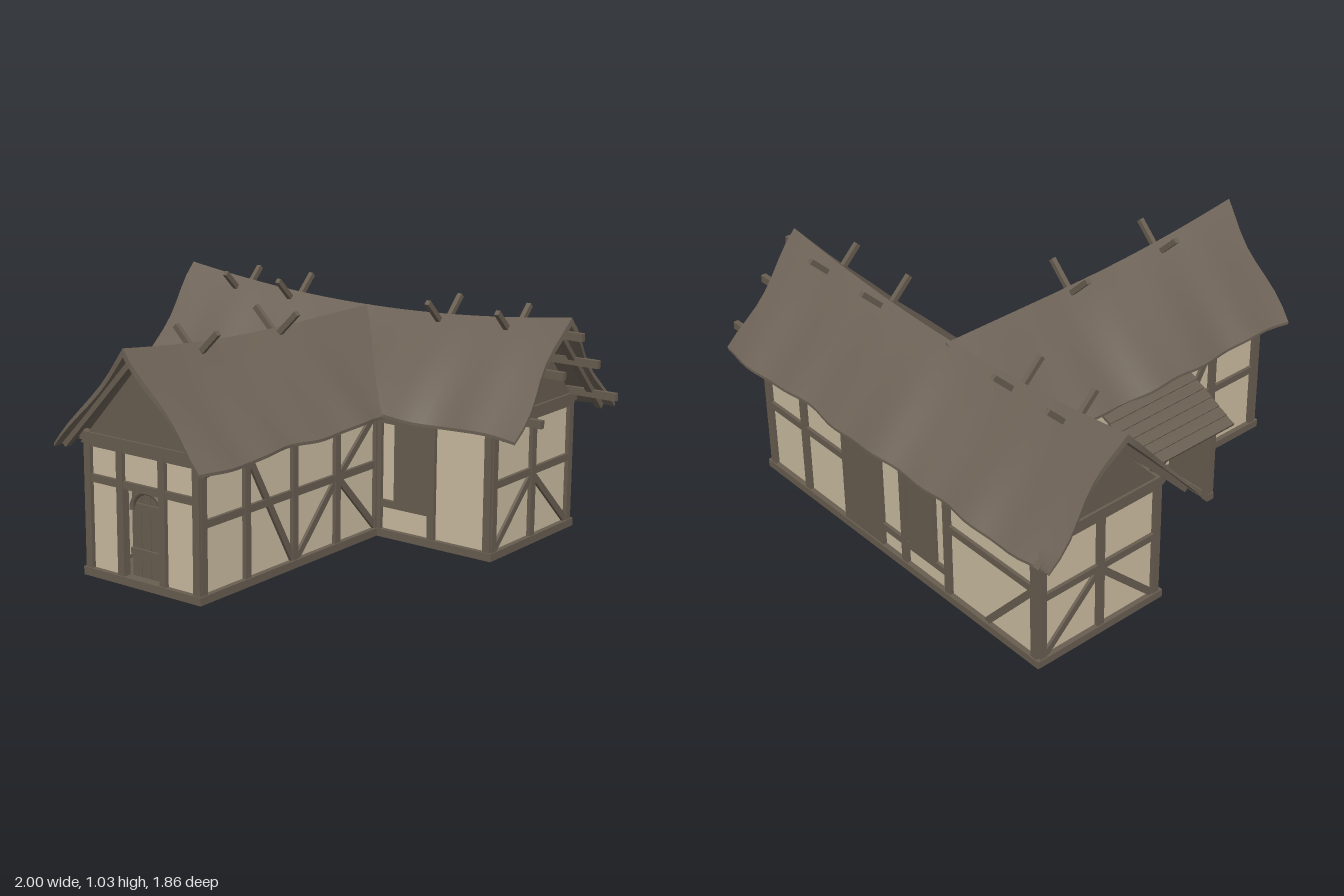
import * as THREE from 'three';
import { toCreasedNormals } from 'three/addons/utils/BufferGeometryUtils.js';

const material = (name, color) => Object.assign(new THREE.MeshStandardMaterial({ color }), { name });
const plaster = material('plaster', 0xcbbca0);
const timber = material('timber', 0x685d50);
const thatch = material('thatch', 0x6d6256);
const BASE = 0.085, TOP = 0.62;

function box(parent, name, mat, w, h, d, x, y, z) {
  const mesh = new THREE.Mesh(new THREE.BoxGeometry(w, h, d), mat);
  mesh.name = name;
  mesh.position.set(x, y, z);
  parent.add(mesh);
  return mesh;
}

// Square timber between two points in the plane z = const
function beam(parent, name, x1, y1, x2, y2, w = 0.032, z = 0, d = 0.03) {
  const m = box(parent, name, timber, Math.hypot(x2 - x1, y2 - y1), w, d, (x1 + x2) / 2, (y1 + y2) / 2, z);
  m.rotation.z = Math.atan2(y2 - y1, x2 - x1);
  return m;
}

// A wall in its own frame: x along, z outward. Plaster is given as rectangles.
function wall(parent, name, x, z, turn, { from, to, posts, rails = [], braces = [], panels = [], rects }) {
  const g = new THREE.Group();
  g.name = name;
  g.position.set(x, 0, z);
  g.rotation.y = turn;
  for (const [a, b, y0, y1] of rects || [[from, to, BASE, TOP]])
    box(g, 'plasterPanel', plaster, b - a, y1 - y0, 0.02, (a + b) / 2, (y0 + y1) / 2, -0.01);
  beam(g, 'sill', from - 0.02, 0.095, to + 0.02, 0.095, 0.032, 0, 0.044);
  beam(g, 'topPlate', from, 0.61, to, 0.61, 0.03);
  for (const p of posts) beam(g, 'post', p, BASE, p, TOP, 0.032, 0, 0.034);
  for (const [a, b, y] of rails) beam(g, 'rail', a, y, b, y, 0.03, 0, 0.028);
  for (const [a, ya, b, yb] of braces) beam(g, 'brace', a, ya, b, yb, 0.028, 0, 0.024);
  for (const [a, b, y0, y1] of panels)
    box(g, 'shutter', timber, b - a, y1 - y0, 0.024, (a + b) / 2, (y0 + y1) / 2, 0.004);
  parent.add(g);
  return g;
}

// Sagging thatch slab swept along z, with wavy eaves and ends
function roofGeometry(s0, s1, ridge) {
  const n = 17, steps = 40, pos = [], idx = [];
  for (let j = 0; j <= steps; j++) {
    const s = s0 + (s1 - s0) * j / steps, end = Math.pow(Math.abs(2 * j / steps - 1), 8);
    for (let k = 0; k < 2 * n; k++) {
      const inner = k >= n, i = inner ? 2 * n - 1 - k : k;
      const t = 1 - 2 * i / (n - 1), a = Math.abs(t);
      const side = Math.sign(t);
      const half = 0.366 + 0.008 * Math.sin(s * 9 + side) + 0.005 * Math.sin(s * 23 + 2 * side);
      const eave = 0.605 + 0.006 * Math.sin(s * 13 + 2 * side);
      const swell = 0.012 * Math.sin(a * Math.PI) * Math.sin(s * 5 + side);
      const y = eave + (ridge(s) - eave) * (1 - a) + swell - (inner ? 0.012 + 0.022 * (1 - a) : 0);
      pos.push(t * half, y, s + end * 0.014 * Math.sin(t * 7 + s));
    }
  }
  const m = 2 * n, quad = (a, b, c, d) => idx.push(a, b, c, a, c, d);
  for (let j = 0; j < steps; j++)
    for (let k = 0; k < m; k++) {
      const l = (k + 1) % m;
      quad(j * m + k, j * m + l, (j + 1) * m + l, (j + 1) * m + k);
    }
  const e = steps * m;
  for (let k = 0; k < n - 1; k++) {
    quad(e + k, e + k + 1, e + m - 2 - k, e + m - 1 - k);
    quad(m - 1 - k, m - 2 - k, k + 1, k);
  }
  const g = new THREE.BufferGeometry();
  g.setAttribute('position', new THREE.Float32BufferAttribute(pos, 3));
  g.setIndex(idx);
  return toCreasedNormals(g, 0.7);
}

// Roof group along local z: thatch, crossed ridge sticks, gables and rafters at the given ends
function roof(parent, name, s0, s1, ridge, sticks, gables) {
  const g = new THREE.Group();
  g.name = name;
  const skin = new THREE.Mesh(roofGeometry(s0, s1, ridge), thatch);
  skin.name = 'thatch';
  g.add(skin);
  for (const s of sticks)
    for (const k of [-1, 1]) beam(g, 'ridgeStick', k * 0.11, 1.025, -k * 0.035, 0.88, 0.022, s + k * 0.006, 0.02);
  const tri = new THREE.Shape([[-0.315, 0.6], [0.315, 0.6], [0, 0.95]].map(p => new THREE.Vector2(...p)));
  for (const [s, outer] of gables) {
    const gable = new THREE.Mesh(new THREE.ExtrudeGeometry(tri, { depth: 0.02, bevelEnabled: false }), timber);
    gable.name = 'gable';
    gable.position.z = s - 0.01;
    g.add(gable);
    beam(g, 'tieBeam', -0.31, 0.632, 0.31, 0.632, 0.034, s, 0.04);
    for (const k of [-1, 1]) beam(g, 'rafter', k * 0.355, 0.594, 0, 0.968, 0.026, outer, 0.03);
  }
  parent.add(g);
  return g;
}

export function createModel() {
  const house = new THREE.Group();
  house.name = 'house';
  const Q = Math.PI / 2;

  // Front wing: gable wall with doorway
  const front = wall(house, 'frontWall', 0, 0.83, 0, {
    from: -0.32, to: 0.23, posts: [-0.315, -0.15, 0.06, 0.228], rails: [[-0.32, 0.23, 0.47]],
    rects: [[-0.32, -0.14, BASE, TOP], [0.05, 0.23, BASE, TOP], [-0.14, 0.05, 0.47, TOP]],
  });
  // Recessed door with planks and a low arch
  const door = new THREE.Group();
  door.name = 'door';
  for (let i = 0; i < 4; i++) box(door, 'doorPlank', timber, 0.045, 0.38, 0.02, -0.117 + i * 0.048, 0.28, -0.05);
  for (const y of [0.2, 0.38]) box(door, 'doorBatten', timber, 0.19, 0.03, 0.012, -0.045, y, -0.036);
  const arch = new THREE.Mesh(new THREE.TorusGeometry(0.08, 0.012, 6, 12, Math.PI), timber);
  arch.name = 'doorArch';
  arch.position.set(-0.045, 0.37, -0.025);
  door.add(arch);
  front.add(door);

  // Front wing: long side walls, mirrored along their length
  const sideBraces = [[-0.56, 0.59, -0.29, 0.11], [-0.27, 0.11, -0.02, 0.37], [0.25, 0.6, 0, 0.38], [0, 0.37, 0.25, 0.11]];
  const sidePosts = [-0.82, -0.57, -0.285, -0.015, 0.25];
  wall(house, 'frontWingLeftWall', 0.23, 0, Q, {
    from: -0.83, to: 0.26, posts: sidePosts, rails: [[-0.83, 0.26, 0.38]], braces: sideBraces,
  });
  wall(house, 'frontWingRightWall', -0.32, 0, -Q, {
    from: -0.26, to: 0.83, posts: sidePosts.map(p => -p), rails: [[-0.26, 0.83, 0.38]],
    braces: sideBraces.map(([a, ya, b, yb]) => [-a, ya, -b, yb]),
  });

  // Back wing: end walls
  for (const [name, x, turn, k] of [['backWingLeftWall', 0.78, Q, 1], ['backWingRightWall', -0.86, -Q, -1]]) {
    const lo = k > 0 ? 0.26 : -0.84, mid = k * 0.55;
    wall(house, name, x, 0, turn, {
      from: lo, to: lo + 0.58, posts: [k * 0.27, mid, k * 0.83], rails: [[lo, lo + 0.58, 0.38]],
      braces: [[mid, 0.37, k * 0.28, 0.11], [mid, 0.37, k * 0.82, 0.11]],
    });
  }

  // Back wing: two short front walls and the long back wall
  wall(house, 'backWingFrontLeftWall', 0, -0.26, 0, {
    from: 0.23, to: 0.78, posts: [0.25, 0.51, 0.775],
    rails: [[0.23, 0.51, 0.22], [0.23, 0.51, 0.57]], panels: [[0.33, 0.5, 0.22, 0.6]],
  });
  wall(house, 'backWingFrontRightWall', 0, -0.26, 0, {
    from: -0.86, to: -0.32, posts: [-0.85, -0.69, -0.35], rails: [[-0.86, -0.32, 0.47]],
  });
  wall(house, 'backWall', 0, -0.84, Math.PI, {
    from: -0.78, to: 0.86, posts: [-0.77, -0.53, -0.26, -0.05, 0.1, 0.36, 0.85],
    rails: [[-0.78, -0.26, 0.4], [-0.05, 0.36, 0.2], [0.36, 0.86, 0.42]],
    braces: [[0.58, 0.11, 0.84, 0.41]], panels: [[-0.24, -0.07, 0.11, 0.6], [0.13, 0.29, 0.2, 0.6]],
  });

  // Floors, open in the middle of the front wing
  box(house, 'backFloor', timber, 1.64, 0.012, 0.52, -0.04, 0.09, -0.58);
  box(house, 'frontFloor', timber, 0.55, 0.012, 0.48, -0.045, 0.09, 0.59);

  // Round stone under the opening
  const stone = new THREE.Mesh(new THREE.SphereGeometry(0.07, 24, 16), plaster);
  stone.name = 'roundStone';
  stone.position.set(-0.05, 0.07, 0);
  house.add(stone);

  // Lean-to porch on the right side of the front wing
  const porch = new THREE.Group();
  porch.name = 'porch';
  for (const z of [-0.06, 0.33]) {
    for (let i = 0; i < 4; i++) box(porch, 'sidePlank', timber, 0.054, 0.38, 0.016, -0.54 + i * 0.056, 0.28, z);
    beam(porch, 'porchPost', -0.56, 0.075, -0.56, 0.49, 0.032, z, 0.032);
    beam(porch, 'porchRail', -0.58, 0.465, -0.33, 0.465, 0.03, z);
    beam(porch, 'porchSill', -0.58, 0.095, -0.33, 0.095, 0.032, z);
    beam(porch, 'porchRafter', -0.63, 0.455, -0.34, 0.607, 0.024, z, 0.026);
  }
  box(porch, 'porchPlate', timber, 0.03, 0.03, 0.42, -0.56, 0.475, 0.135);
  for (let i = 0; i < 7; i++)
    beam(porch, 'roofBoard', -0.645 + i * 0.042, 0.464 + i * 0.0215, -0.598 + i * 0.042, 0.482 + i * 0.0215, 0.012, 0.135, 0.47);
  house.add(porch);

  // Roofs
  const sag = s => 0.955 + 0.07 * (s / 0.95) ** 2;
  const frontRoof = roof(house, 'frontRoof', -0.56, 0.92, s => (s > 0 ? sag(s) : 0.953), [0.05, 0.525], [[0.83, 0.875]]);
  frontRoof.position.x = -0.038;
  const backRoof = roof(house, 'backRoof', -0.985, 0.935, sag, [-0.71, -0.42, 0.35, 0.68], [[0.78, 0.88], [-0.86, -0.93]]);
  backRoof.rotation.y = Q;
  backRoof.position.z = -0.55;

  // Purlin ends on the left gable
  for (const [u, y] of [[0, 0.95], [0.13, 0.82], [-0.13, 0.82], [0.28, 0.66], [-0.28, 0.66]])
    box(house, 'purlin', timber, 0.26, 0.032, 0.022, 0.87, y, -0.55 + u);
  return house;
}
